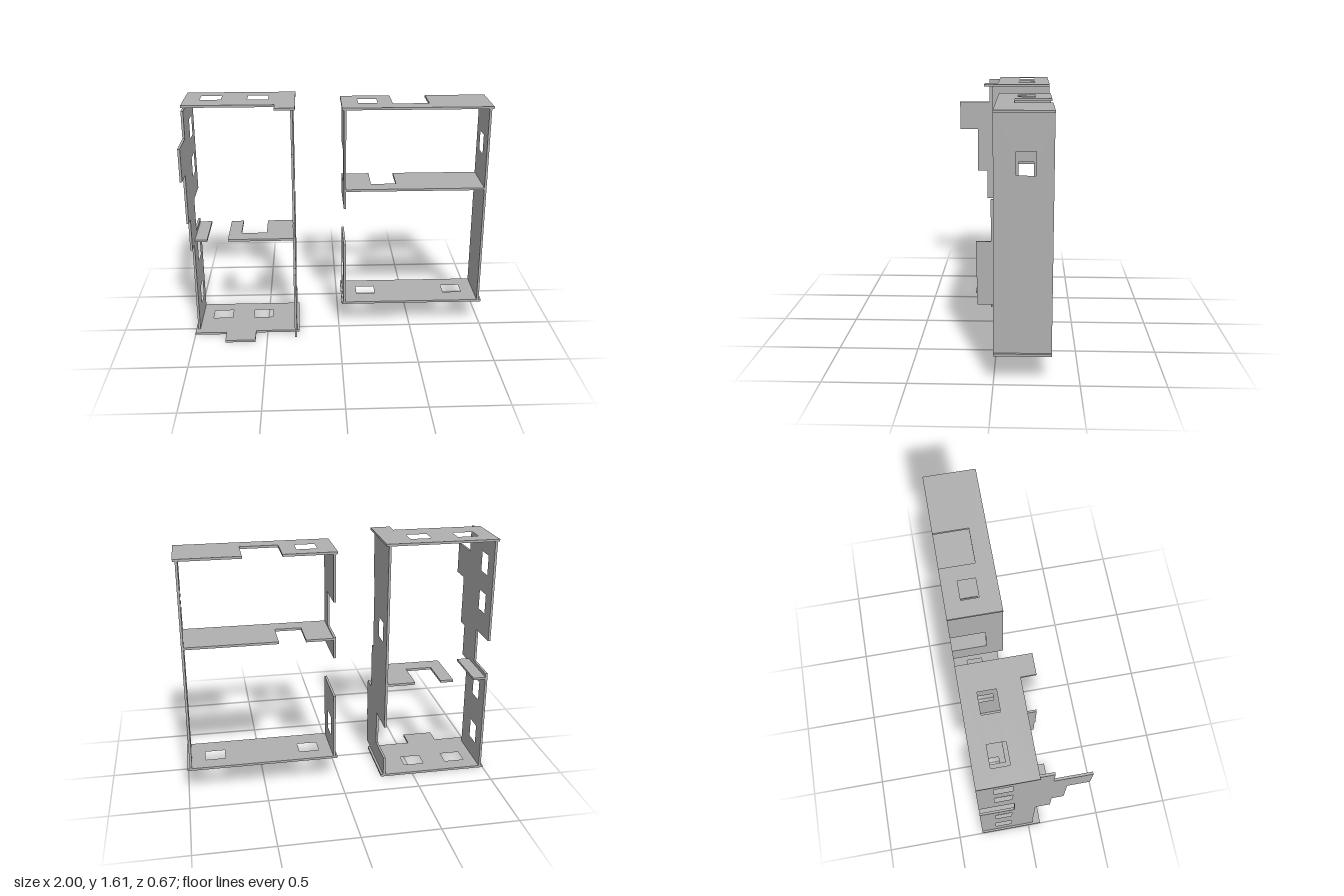
import * as THREE from 'three';

const T = 0.015;                 // panel thickness
const BACK = -0.335;             // common back plane
const SLOT = -0.11;              // depth of the notches cut from the back
const W0 = -0.235, W1 = -0.125;  // depth range of every window

const rect = (a0, b0, a1, b1) => [[a0, b0], [a1, b0], [a1, b1], [a0, b1]];

export function createModel() {
  const model = new THREE.Group();
  const grey = new THREE.MeshStandardMaterial({ color: 0xb0b0b0 });
  grey.name = 'grey';

  function extrude(outline, holes, map) {
    const toVec = (list) => list.map((p) => new THREE.Vector2(...map(p)));
    const shape = new THREE.Shape(toVec(outline));
    for (const h of holes) shape.holes.push(new THREE.Path(toVec(h)));
    return new THREE.ExtrudeGeometry(shape, { depth: T, bevelEnabled: false });
  }
  function add(parent, name, geometry) {
    const mesh = new THREE.Mesh(geometry, grey);
    mesh.name = name;
    parent.add(mesh);
  }
  // Horizontal panel: outline in [x, z], windows as x ranges
  function plate(parent, name, y, outline, windows = []) {
    const holes = windows.map(([a, b]) => rect(a, W0, b, W1));
    const g = extrude(outline, holes, ([x, z]) => [x, -z]);
    add(parent, name, g.rotateX(-Math.PI / 2).translate(0, y, 0));
  }
  // Upright panel: outline in [z, y], windows as y ranges
  function wall(parent, name, x, outline, windows = []) {
    const holes = windows.map(([a, b]) => rect(W0, a, W1, b));
    const g = extrude(outline, holes, ([z, y]) => [-z, y]);
    add(parent, name, g.rotateY(Math.PI / 2).translate(x, 0, 0));
  }
  // Four points of a notch cut into the back edge
  const slotX = (a, b) => [[a, BACK], [a, SLOT], [b, SLOT], [b, BACK]];
  const slotY = (a, b) => [[BACK, a], [SLOT, a], [SLOT, b], [BACK, b]];

  // Tall frame with stepped front edges
  const tall = new THREE.Group();
  tall.name = 'tallFrame';
  model.add(tall);
  plate(tall, 'tallBottom', 0, [
    [-1, BACK], [-0.28, BACK], [-0.28, 0.07], [-0.58, 0.07], [-0.58, 0.197],
    [-0.785, 0.197], [-0.785, 0.085], [-1, 0.085],
  ], [[-0.895, -0.76], [-0.605, -0.47]]);
  plate(tall, 'tallTop', 1.595, [
    [-1, BACK], [-0.28, BACK], [-0.28, 0.113], [-0.41, 0.113], [-0.41, 0.022], [-1, 0.022],
  ], [[-0.895, -0.76], [-0.59, -0.455]]);
  wall(tall, 'tallOuterWall', -0.987, [
    [BACK, T], [0.03, T], [0.03, 0.66], [0.125, 0.66], [0.125, 0.88], [0.2, 0.88],
    [0.2, 1.21], [0.335, 1.21], [0.335, 1.42], [0.107, 1.42], [0.107, 1.595],
    [BACK, 1.595], ...slotY(0.705, 0.935).reverse(),
  ], [[0.14, 0.27], [0.47, 0.6], [1.09, 1.22], [1.35, 1.48]]);
  wall(tall, 'tallInnerWall', -0.31, [
    [BACK, T], [0.17, T], [0.17, 0.22], [0.176, 0.22], [0.176, 0.49], [0.07, 0.49],
    [0.07, 0.8], [0.03, 0.8], [0.03, 1.29], [0.055, 1.29], [0.055, 1.595],
    [BACK, 1.595], ...slotY(0.14, 0.37).reverse(),
  ], [[0.94, 1.07]]);
  plate(tall, 'tallShelfStub', 0.665, rect(-0.972, BACK, -0.89, 0));
  plate(tall, 'tallShelf', 0.665, [
    [-0.75, 0], [-0.75, BACK], ...slotX(-0.665, -0.493), [-0.31, BACK], [-0.31, 0],
  ]);

  // Wide frame with a flush front
  const wide = new THREE.Group();
  wide.name = 'wideFrame';
  model.add(wide);
  plate(wide, 'wideBottom', 0.175, rect(0.02, BACK, 1, 0), [[0.13, 0.26], [0.75, 0.88]]);
  plate(wide, 'wideTop', 1.563, [
    [0.02, 0], [0.02, BACK], ...slotX(0.355, 0.595), [1, BACK], [1, 0],
  ], [[0.13, 0.257]]);
  plate(wide, 'wideShelf', 1.01, [
    [0.047, 0], [0.047, BACK], ...slotX(0.22, 0.39), [0.97, BACK], [0.97, 0],
  ]);
  wall(wide, 'wideOuterWall', 0.97, rect(BACK, 0.19, 0, 1.563), [[1.222, 1.355]]);
  wall(wide, 'wideInnerWallLower', 0.032, rect(BACK, 0.19, 0, 0.625), [[0.3, 0.43]]);
  wall(wide, 'wideInnerWallUpper', 0.032, [
    [BACK, 0.89], [0, 0.89], [0, 1.563], [BACK, 1.563], ...slotY(1.03, 1.26).reverse(),
  ]);
  return model;
}
